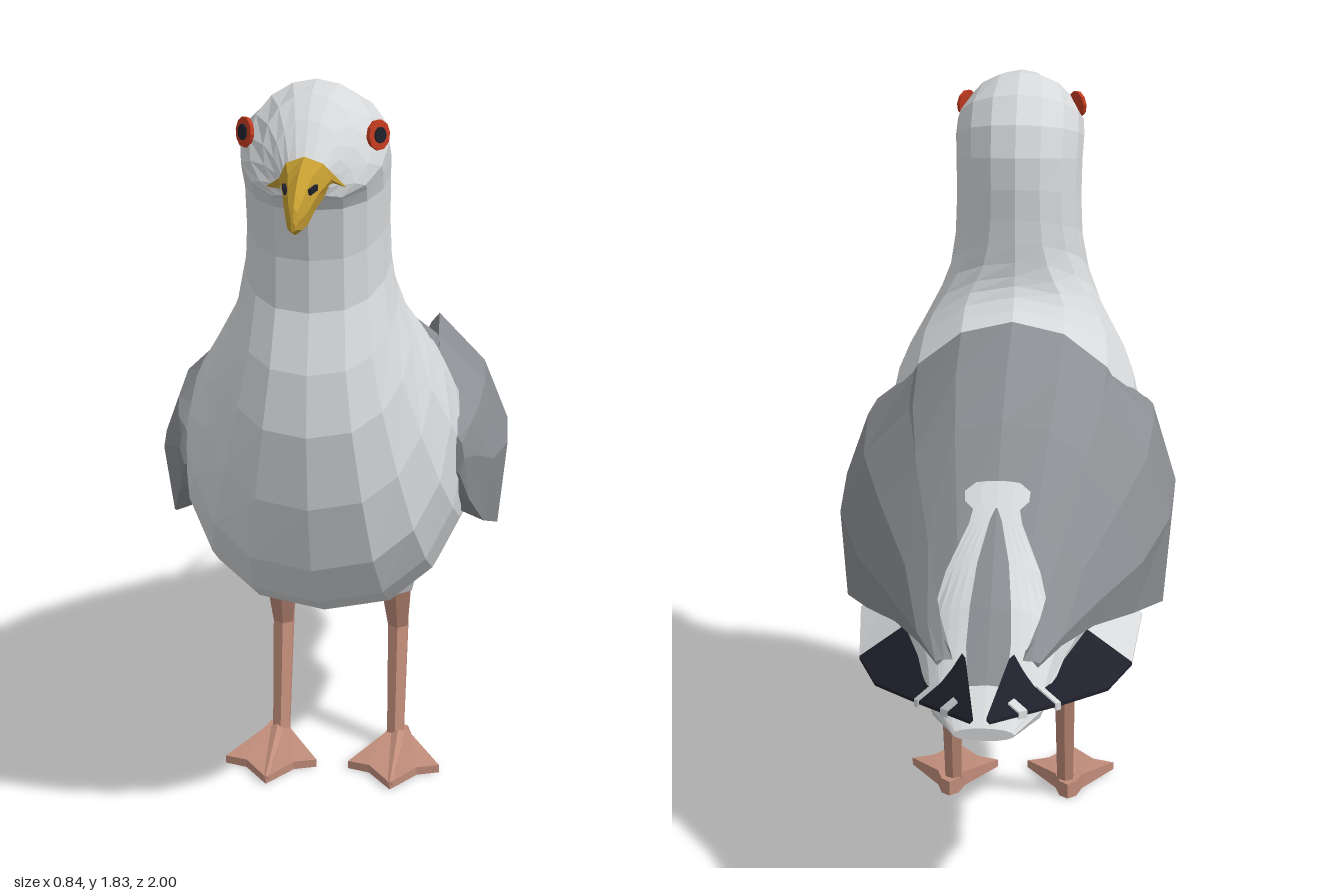
import * as THREE from 'three';

const mat = (name, color) => {
  const m = new THREE.MeshStandardMaterial({ color });
  m.name = name;
  return m;
};
const white = mat('white plumage', 0xd6d8da);
const grey = mat('grey plumage', 0x8b8e92);
const black = mat('black feathers', 0x20202c);
const yellow = mat('yellow bill', 0xc39c30);
const pink = mat('pink legs', 0xc08c7a);
const red = mat('red eye', 0xc23a20);

const V = (x, y, z) => new THREE.Vector3(x, y, z);

// Faceted skin over cross-sections listed from back to front
// (each runs top -> +x -> bottom -> -x); keep() picks which quads to build.
function skin(rings, { closed = true, keep = () => true } = {}) {
  const pos = [], n = rings[0].length;
  const tri = (...p) => p.forEach(v => pos.push(v.x, v.y, v.z));
  for (let i = 0; i < rings.length - 1; i++) {
    for (let j = 0; j < (closed ? n : n - 1); j++) {
      if (!keep(i, j)) continue;
      const k = (j + 1) % n;
      const a = rings[i][j], b = rings[i][k], c = rings[i + 1][j], d = rings[i + 1][k];
      tri(a, c, b);
      tri(c, d, b);
    }
  }
  if (closed && keep(-1, 0)) {
    for (const [ring, flip] of [[rings[0], false], [rings[rings.length - 1], true]]) {
      const mid = ring.reduce((s, v) => s.add(v), V(0, 0, 0)).divideScalar(n);
      ring.forEach((v, j) => {
        const w = ring[(j + 1) % n];
        if (flip) tri(mid, w, v); else tri(mid, v, w);
      });
    }
  }
  const g = new THREE.BufferGeometry();
  g.setAttribute('position', new THREE.Float32BufferAttribute(pos, 3));
  g.computeVertexNormals();
  return g;
}

// Flat-faced copy, reflected to the other side
function mirrored(geo) {
  const g = geo.clone();
  const p = g.attributes.position, a = V(0, 0, 0), b = V(0, 0, 0);
  for (let i = 0; i < p.count; i += 3) {
    a.fromBufferAttribute(p, i + 1);
    b.fromBufferAttribute(p, i + 2);
    p.setXYZ(i + 1, b.x, b.y, b.z);
    p.setXYZ(i + 2, a.x, a.y, a.z);
  }
  for (let i = 0; i < p.count; i++) p.setX(i, -p.getX(i));
  g.computeVertexNormals();
  return g;
}

// Oval sections, fuller below: [top z, top y, bottom z, bottom y, half width]
const ovalPoint = ([tz, ty, bz, by, w], a, lift = 0) => {
  const c = Math.cos(a) / 2, s = Math.sin(a);
  const x = Math.sign(s) * Math.abs(s) ** (c < -0.01 ? 0.8 : 1);
  return V(w * x, (ty + by) / 2 + (ty - by) * c + lift, (tz + bz) / 2 + (tz - bz) * c);
};
const oval = (s, n) => Array.from({ length: n }, (_, j) => ovalPoint(s, j / n * Math.PI * 2));

const BODY = [
  [-0.89, 0.585, -0.89, 0.555, 0.07], [-0.78, 0.645, -0.78, 0.535, 0.13],
  [-0.64, 0.78, -0.62, 0.535, 0.17], [-0.45, 0.92, -0.4, 0.525, 0.24],
  [-0.2, 1.1, -0.2, 0.49, 0.3], [0, 1.185, 0.05, 0.455, 0.335],
  [0.22, 1.24, 0.22, 0.452, 0.343], [0.27, 1.26, 0.42, 0.5, 0.34],
  [0.3, 1.285, 0.58, 0.585, 0.332], [0.315, 1.31, 0.7, 0.71, 0.305],
  [0.32, 1.335, 0.76, 0.88, 0.262], [0.322, 1.37, 0.785, 1.06, 0.216],
  [0.322, 1.42, 0.765, 1.2, 0.183], [0.324, 1.48, 0.715, 1.33, 0.167],
  [0.322, 1.56, 0.715, 1.45, 0.163], [0.328, 1.64, 0.735, 1.57, 0.165],
  [0.36, 1.72, 0.76, 1.595, 0.168], [0.43, 1.785, 0.77, 1.6, 0.166],
  [0.55, 1.825, 0.775, 1.603, 0.138], [0.65, 1.815, 0.78, 1.606, 0.1],
  [0.72, 1.77, 0.785, 1.61, 0.072], [0.79, 1.7, 0.79, 1.615, 0.048],
];
const BILL = [
  [0.76, 1.64, 0.74, 1.612, 0.09], [0.795, 1.705, 0.77, 1.6, 0.057],
  [0.86, 1.697, 0.86, 1.587, 0.04], [0.92, 1.682, 0.925, 1.571, 0.029],
  [0.965, 1.66, 0.965, 1.575, 0.021], [0.99, 1.64, 0.99, 1.586, 0.012],
  [1.0, 1.612, 1.0, 1.59, 0.005],
];

// Thin marking laid over the back; rows are [ring position, from, to] as width fractions
function backPatch(rows) {
  return skin(rows.map(([u, f, t]) => {
    const i = Math.floor(u), s = BODY[i].map((v, k) => v + (BODY[i + 1][k] - v) * (u - i));
    return [0, 1, 2, 3, 4].map(k => ovalPoint(s, Math.asin(f + (t - f) * k / 4), 0.009));
  }), { closed: false });
}

// Folded wing sections: z, then x, y of the top, shoulder, side and lower edge
const WING = [
  [-0.74, 0.08, 0.69, 0.1, 0.69, 0.12, 0.685, 0.115, 0.675],
  [-0.65, 0.115, 0.76, 0.145, 0.745, 0.17, 0.72, 0.165, 0.695],
  [-0.5, 0.155, 0.885, 0.21, 0.83, 0.245, 0.75, 0.235, 0.69],
  [-0.3, 0.2, 1.015, 0.29, 0.92, 0.345, 0.78, 0.325, 0.65],
  [-0.1, 0.235, 1.1, 0.35, 0.98, 0.41, 0.83, 0.395, 0.61],
  [0.15, 0.25, 1.12, 0.365, 1.01, 0.422, 0.85, 0.4, 0.64],
  [0.33, 0.27, 1.07, 0.36, 1.0, 0.398, 0.87, 0.375, 0.71],
  [0.43, 0.3, 1.01, 0.345, 0.985, 0.36, 0.91, 0.345, 0.8],
  [0.48, 0.32, 0.97, 0.33, 0.955, 0.335, 0.92, 0.325, 0.88],
];
// Flight feather blade: inner edge, outer edge
const BLADE = [
  [V(0.015, 0.652, -1), V(0.022, 0.645, -1)],
  [V(0.05, 0.695, -0.75), V(0.165, 0.59, -0.75)],
  [V(0.1, 0.7, -0.62), V(0.272, 0.578, -0.62)],
  [V(0.18, 0.69, -0.46), V(0.325, 0.585, -0.47)],
  [V(0.27, 0.68, -0.25), V(0.345, 0.63, -0.25)],
];
const plate = (pairs, h = 0.004) => skin(pairs.map(([a, b]) => {
  const at = (p, d) => V(p.x, p.y + d, p.z);
  return [at(a, h), at(b, h), at(b, -h), at(a, -h)];
}));
// Pale spot on the blade tip between two lengthwise fractions, from fraction f across to the outer edge
const tipSpot = (s, e, f) => plate([s, e].map(t => {
  const a = BLADE[0][0].clone().lerp(BLADE[1][0], t), b = BLADE[0][1].clone().lerp(BLADE[1][1], t);
  return [a.clone().lerp(b, f), a.clone().lerp(b, 1.03)];
}), 0.009);

// Tapered limb between two points
function limb(p, q, r0, r1) {
  const d = q.clone().sub(p), m = p.clone().add(q).multiplyScalar(0.5);
  const g = new THREE.CylinderGeometry(r1, r0, d.length(), 6).toNonIndexed();
  g.applyQuaternion(new THREE.Quaternion().setFromUnitVectors(V(0, 1, 0), d.normalize()));
  g.translate(m.x, m.y, m.z);
  g.computeVertexNormals();
  return g;
}

// Webbed foot, rising towards the ankle
function webbedFoot() {
  const half = [[0.022, 0.07], [0.035, 0.12], [0.115, 0.25], [0.06, 0.27]];
  const outline = [[0, 0.36], ...half.slice().reverse(), [0, 0.05], ...half.map(([x, z]) => [-x, z])];
  const shape = new THREE.Shape(outline.map(([x, z]) => new THREE.Vector2(x, -z)));
  const g = new THREE.ExtrudeGeometry(shape, { depth: 0.018, bevelEnabled: false });
  g.rotateX(-Math.PI / 2);
  const p = g.attributes.position;
  for (let i = 0; i < p.count; i++) {
    if (p.getY(i) > 0.01) p.setY(i, 0.018 + 0.028 * Math.max(0, 1 - Math.hypot(p.getX(i), p.getZ(i) - 0.1) / 0.2));
  }
  g.translate(0.155, 0, 0);
  g.computeVertexNormals();
  return g;
}

// Round disc facing outwards and forwards from the head
function eyeDisc(r, out) {
  const n = V(0.8, 0.1, 0.6).normalize();
  const g = new THREE.CylinderGeometry(r, r, 0.009, 10).toNonIndexed();
  g.applyQuaternion(new THREE.Quaternion().setFromUnitVectors(V(0, 1, 0), n));
  const c = V(0.14, 1.724, 0.652).addScaledVector(n, out);
  g.translate(c.x, c.y, c.z);
  g.computeVertexNormals();
  return g;
}

export function createModel() {
  const bird = new THREE.Group();
  bird.name = 'gull';
  const add = (name, geo, material) => {
    const m = new THREE.Mesh(geo, material);
    m.name = name;
    bird.add(m);
  };
  const pair = (name, geo, material) => {
    add(name + 'Left', geo, material);
    add(name + 'Right', mirrored(geo), material);
  };

  // Body, neck and head in one skin, with the grey back as its own mesh
  const rings = BODY.map(s => oval(s, 16));
  const isBack = (i, j) => i >= 1 && i <= 5 && (j < (i < 2 ? 2 : 3) || j > (i < 2 ? 13 : 12));
  add('body', skin(rings, { keep: (i, j) => !isBack(i, j) }), white);
  add('mantle', skin(rings, { keep: isBack }), grey);
  add('rumpSpot', backPatch([[3.12, -0.22, 0.22], [3.22, -0.3, 0.3], [3.32, -0.3, 0.3], [3.38, -0.2, 0.2]]), white);
  pair('rumpStripe', backPatch([[1, 0.35, 0.98], [1.5, 0.34, 0.93], [2, 0.28, 0.84], [2.5, 0.18, 0.54], [3, 0.06, 0.26], [3.14, 0, 0.22]]), white);

  // Folded wings and flight feathers
  pair('wing', skin(WING.map(([z, ...p]) => {
    const ring = [0, 2, 4, 6].map(k => V(p[k], p[k + 1], z));
    ring.push(V(p[6] * 0.75, p[7] + 0.04, z));
    return ring;
  })), grey);
  pair('wingTip', plate(BLADE.slice(0, 4)), black);
  pair('wingEdge', plate(BLADE.slice(3)), white);
  pair('tipSpotRear', tipSpot(0.4, 0.52, 0.55), white);
  pair('tipSpotFront', tipSpot(0.93, 1, 0.6), white);

  // Bill with nostrils
  add('bill', skin(BILL.map(s => oval(s, 8))), yellow);
  const nostril = new THREE.BoxGeometry(0.008, 0.012, 0.05).toNonIndexed();
  nostril.rotateY(-0.2);
  nostril.translate(0.03, 1.657, 0.895);
  pair('nostril', nostril, black);

  // Eyes
  pair('eye', eyeDisc(0.034, 0.009), red);
  pair('pupil', eyeDisc(0.018, 0.013), black);

  // Legs and feet
  const hip = V(0.145, 0.455, 0.08), knee = V(0.147, 0.31, 0.035), ankle = V(0.147, 0.035, 0.1);
  pair('thigh', limb(V(0.145, 0.435, 0.08), V(0.145, 0.52, 0.1), 0.048, 0.068), white);
  pair('upperLeg', limb(knee, hip, 0.028, 0.045), pink);
  pair('lowerLeg', limb(ankle, V(0.147, 0.32, 0.033), 0.024, 0.029), pink);
  pair('foot', webbedFoot(), pink);
  pair('middleToe', limb(V(0.155, 0.013, 0.355), V(0.155, 0.032, 0.11), 0.007, 0.02), pink);
  return bird;
}
